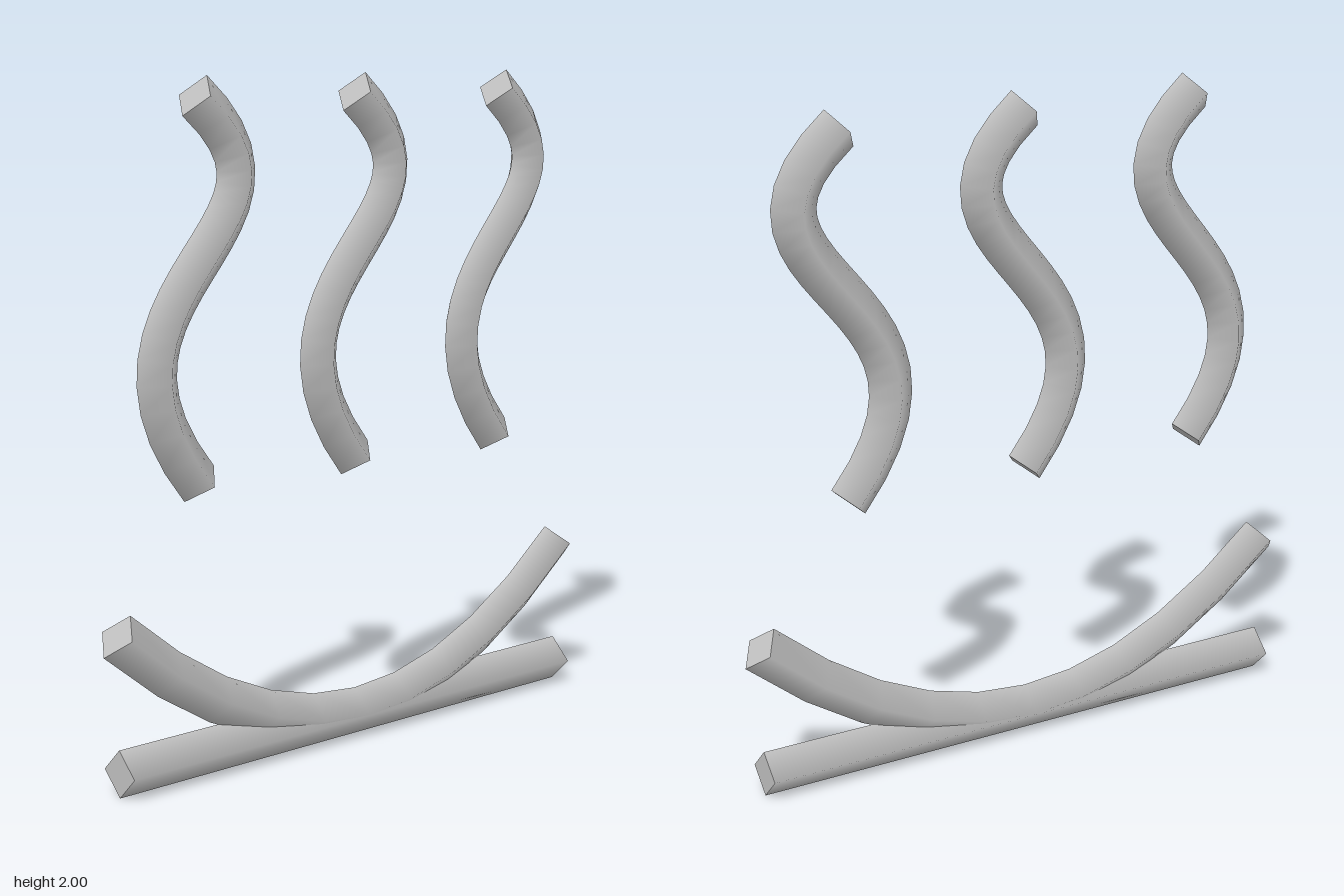
import * as THREE from 'three';

const RADIUS = 0.07;
const grey = new THREE.MeshStandardMaterial({ color: 0xc0c0c0 });
grey.name = 'grey';

const v = (x, y) => new THREE.Vector3(x, y, 0);

// Four-sided rod swept along a curve at even parameter steps, with flat end caps
function rod(name, curve, segments) {
  curve.getPointAt = (t, target) => curve.getPoint(t, target);
  curve.getTangentAt = (t, target) => curve.getTangent(t, target);
  const group = new THREE.Group();
  group.name = name;

  const body = new THREE.Mesh(new THREE.TubeGeometry(curve, segments, RADIUS, 4, false), grey);
  body.name = name + 'Body';
  group.add(body);

  for (const [t, side, label] of [[0, -1, 'StartCap'], [1, 1, 'EndCap']]) {
    const cap = new THREE.Mesh(new THREE.CircleGeometry(RADIUS, 4), grey);
    const end = curve.getPoint(t);
    cap.name = name + label;
    cap.position.copy(end);
    cap.lookAt(end.clone().addScaledVector(curve.getTangent(t), side));
    group.add(cap);
  }
  return group;
}

export function createModel() {
  const model = new THREE.Group();
  model.name = 'heatedSurfaceSymbol';

  // Straight bar on the ground and the shallow bowl curve touching it
  model.add(rod('baseBar', new THREE.LineCurve3(v(-0.887, RADIUS), v(0.887, RADIUS)), 1));
  model.add(rod('bowlCurve',
    new THREE.QuadraticBezierCurve3(v(-0.887, 0.467), v(0, -0.32), v(0.887, 0.467)), 10));

  // Three rising S-shaped waves
  for (const x of [-0.592, 0, 0.592]) {
    const wave = rod('risingWave', new THREE.CubicBezierCurve3(
      v(0, 0.859), v(-0.5, 1.447), v(0.5, 1.549), v(0, 1.945)), 20);
    wave.position.x = x;
    model.add(wave);
  }
  return model;
}
